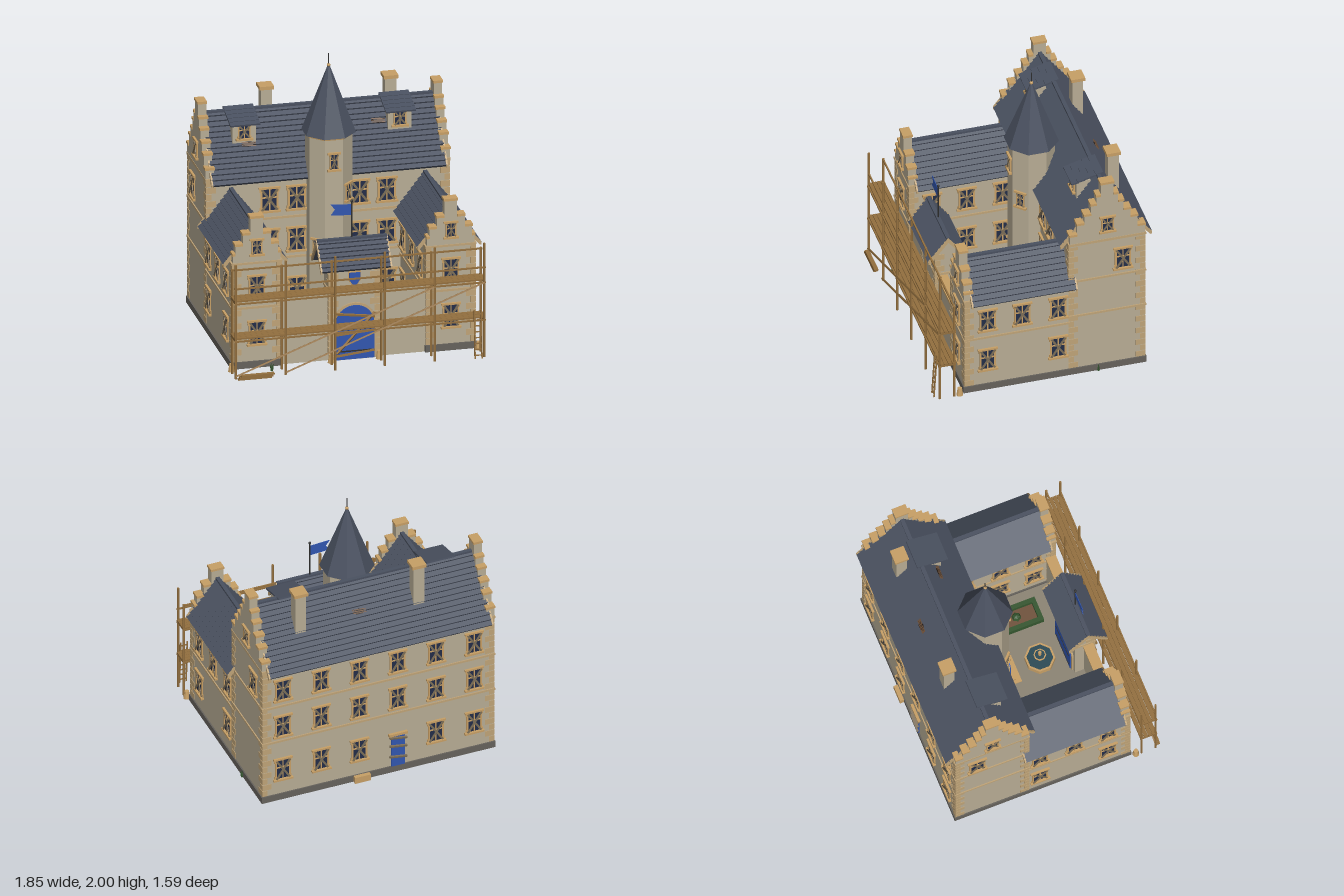
import * as THREE from 'three';

const mat = (color, side = THREE.FrontSide) => new THREE.MeshStandardMaterial({ color, side, flatShading: true, roughness: 0.9 });
const M = {
  wall: mat(0xb8ad95), trim: mat(0xc8a066), stone: mat(0xc0a478), slate: mat(0x4a5160), plinth: mat(0x66625c),
  paving: mat(0x8c8474), glass: mat(0x232d48), blue: mat(0x3156b0, THREE.DoubleSide), wood: mat(0x94703f), board: mat(0x7d6f58),
  green: mat(0x35562f), soil: mat(0x71533c), water: mat(0x2b4a55), dark: mat(0x2b2019), iron: mat(0x30302f),
};

function add(parent, name, geo, material, x = 0, y = 0, z = 0) {
  const m = new THREE.Mesh(geo, material);
  m.name = name;
  m.position.set(x, y, z);
  parent.add(m);
  return m;
}
// Box given by its min and max corners
const block = (p, name, material, x0, x1, y0, y1, z0, z1) =>
  add(p, name, new THREE.BoxGeometry(x1 - x0, y1 - y0, z1 - z0), material, (x0 + x1) / 2, (y0 + y1) / 2, (z0 + z1) / 2);
const group = (p, name, x = 0, y = 0, z = 0, ry = 0) => {
  const g = new THREE.Group();
  g.name = name;
  g.position.set(x, y, z);
  g.rotation.y = ry;
  p.add(g);
  return g;
};
// Square timber between two points
function beam(p, name, a, b, t, material = M.wood) {
  const A = new THREE.Vector3(...a), d = new THREE.Vector3(...b).sub(A), len = d.length();
  const m = add(p, name, new THREE.BoxGeometry(t, t, len), material);
  m.position.copy(A).addScaledVector(d, 0.5);
  m.quaternion.setFromUnitVectors(new THREE.Vector3(0, 0, 1), d.normalize());
}
const extrude = (pts, depth) =>
  new THREE.ExtrudeGeometry(new THREE.Shape(pts.map(q => new THREE.Vector2(...q))), { depth, bevelEnabled: false });

// Boarded window with keyed stone surround, facing +z before rotation
function windowUnit(p, x, y, z, ry = 0, w = 0.104, h = 0.16) {
  const g = group(p, 'window', x, y, z, ry), a = w / 2, b = h / 2, t = w * 0.06;
  block(g, 'windowPane', M.glass, -a, a, -b, b, -0.01, 0.004);
  for (const s of [-1, 1]) {
    block(g, 'windowJamb', M.trim, s * a - t, s * a + t, -b, b, -0.01, 0.01);
    for (const v of [-0.85, 0.85])
      block(g, 'jambStone', M.trim, s * (a + t) - t, s * (a + t) + t, v * b - h * 0.07, v * b + h * 0.07, -0.01, 0.008);
    add(g, 'crossBoard', new THREE.BoxGeometry(Math.hypot(w, h) * 0.98, w * 0.14, 0.006), M.board, 0, 0, 0.013 + s * 0.003)
      .rotation.z = s * Math.atan2(h, w);
  }
  block(g, 'windowSill', M.trim, -a - 0.021, a + 0.021, -b - 0.014, -b, -0.01, 0.022);
  block(g, 'windowLintel', M.trim, -a - 0.019, a + 0.019, b, b + 0.014, -0.01, 0.016);
  block(g, 'mullion', M.trim, -t * 0.7, t * 0.7, -b, b, 0, 0.01);
  block(g, 'transom', M.trim, -a, a, b * 0.2 - t * 0.7, b * 0.2 + t * 0.7, 0, 0.01);
}

// Pitched roof with overlapping slate courses, ridge along local z
function pitchedRoof(p, name, hw, y0, y1, len, rows, x, z, ry = 0) {
  const g = group(p, name, x, 0, z, ry), side = [], lift = 0.011;
  for (let i = 0; i < rows; i++) {
    const u = i / rows, v = (i + 1) / rows;
    side.push([hw * (1 - u) + lift * 0.5, y0 + (y1 - y0) * u + lift], [hw * (1 - v), y0 + (y1 - y0) * v]);
  }
  const left = side.slice(0, -1).reverse().map(([a, b]) => [-a, b]);
  const outline = [[hw - 0.01, y0 - 0.006], ...side, ...left, [-hw + 0.01, y0 - 0.006], [0, y1 - 0.03]];
  add(g, 'slateCourses', extrude(outline, len), M.slate, 0, 0, -len / 2);
  block(g, 'ridgeCap', M.slate, -0.014, 0.014, y1 - 0.02, y1 + 0.006, -len / 2, len / 2);
  // Verge boards on the roof ends
  const verge = [[hw + 0.004, y0 - 0.008], [hw + 0.004, y0 + 0.012], [0, y1 + 0.004], [0, y1 - 0.034], [hw - 0.01, y0 - 0.008]];
  for (const e of [-1, 1]) for (const s of [-1, 1])
    add(g, 'vergeBoard', extrude(verge.map(([a, b]) => [s * a, b]), 0.012), M.stone, 0, 0, e * len / 2 - 0.006);
}

// Crow-stepped gable, facing +z; levels are [halfWidth, top]; copings cap the exposed shelves
function steppedGable(p, name, levels, base, depth, x, z, ry = 0) {
  const g = group(p, name, x, 0, z, ry), d = depth / 2, c = 0.016, e = 0.005;
  let y = base;
  levels.forEach(([hw, top], i) => {
    block(g, 'gableStep', M.wall, -hw, hw, y, top, -d, d);
    const inner = i + 1 < levels.length ? levels[i + 1][0] : 0;
    for (const s of [-1, 1]) {
      const a = s * inner, b = s * (hw + e);
      block(g, 'stepCoping', M.trim, Math.min(a, b), Math.max(a, b), top - c, top + 0.002, -d - e, d + e);
    }
    y = top;
  });
}

// Alternating corner stones; sx and sz point outward
function quoins(p, x, z, sx, sz, h) {
  const n = Math.round((h - 0.05) / 0.05), e = 0.004;
  for (let i = 0; i < n; i++) {
    const a = i % 2 ? 0.07 : 0.04, b = i % 2 ? 0.04 : 0.07, y = 0.05 + (i + 0.5) * (h - 0.05) / n;
    add(p, 'cornerStone', new THREE.BoxGeometry(a, 0.044, b), M.stone, x + sx * (e - a / 2), y, z + sz * (e - b / 2));
  }
}

// Wall mass with plinth and string courses
function wallMass(p, name, x0, x1, z0, z1, h, bands) {
  const g = group(p, name);
  block(g, 'wall', M.wall, x0, x1, 0.04, h, z0, z1);
  block(g, 'plinth', M.plinth, x0 - 0.01, x1 + 0.01, 0, 0.05, z0 - 0.01, z1 + 0.01);
  for (const y of bands) block(g, 'stringCourse', M.stone, x0 - 0.008, x1 + 0.008, y - 0.008, y + 0.008, z0 - 0.008, z1 + 0.008);
}

function archedDoor(p, name, hw, spring, x, z, ry = 0, depth = 0.02) {
  const g = group(p, name, x, 0, z, ry);
  const arch = (r) => {
    const pts = [[-r, 0.01], [r, 0.01]];
    for (let i = 0; i <= 12; i++) pts.push([r * Math.cos(i * Math.PI / 12), spring + r * Math.sin(i * Math.PI / 12)]);
    return pts;
  };
  add(g, 'doorSurround', extrude(arch(hw * 1.12), depth * 0.6), M.stone);
  add(g, 'doorLeaf', extrude(arch(hw), depth), M.blue);
  for (const y of [0.25, 0.85]) block(g, 'hinge', M.iron, -hw * 0.85, hw * 0.85, spring * y, spring * y + 0.009, depth, depth + 0.004);
}

export function createModel() {
  const root = new THREE.Group();
  root.name = 'castle';
  const H = Math.PI / 2, floors = [0.26, 0.63, 0.94];

  // Main rear building
  const main = group(root, 'mainBuilding');
  wallMass(main, 'mainWalls', -0.87, 0.87, -0.74, -0.19, 1.12, [0.5, 0.8]);
  pitchedRoof(main, 'mainRoof', 0.328, 1.09, 1.525, 1.68, 14, 0, -0.467, H);
  for (const s of [-1, 1]) {
    block(main, 'gableBand', M.stone, s * 0.84 - 0.038, s * 0.84 + 0.038, 1.11, 1.13, -0.748, -0.184);
    steppedGable(main, 'mainGable', [[0.272, 1.21], [0.218, 1.3], [0.167, 1.37], [0.118, 1.45], [0.078, 1.52], [0.046, 1.62]], 1.1, 0.06, s * 0.845, -0.467, s * H);
    windowUnit(main, s * 0.875, 1.26, -0.467, s * H, 0.08, 0.11);
    windowUnit(main, s * 0.87, 0.94, -0.58, s * H);
    quoins(main, s * 0.87, -0.74, s, -1, 1.12);
    quoins(main, s * 0.87, -0.19, s, 1, 1.12);
    for (const x of [0.225, 0.42]) for (const y of floors) windowUnit(main, s * x, y, -0.19, 0, 0.115);
  }
  for (let i = 0; i < 6; i++) for (const y of floors) {
    const x = -0.72 + i * 0.288;
    if (i !== 2 || y > 0.3) windowUnit(main, x, y, -0.74, Math.PI);
  }
  block(main, 'backDoor', M.blue, -0.195, -0.095, 0.05, 0.31, -0.752, -0.735);
  block(main, 'backDoorLintel', M.trim, -0.215, -0.075, 0.31, 0.33, -0.76, -0.735);
  for (const y of [0.12, 0.21, 0.28]) beam(main, 'doorBoard', [-0.21, y, -0.757], [-0.08, y + 0.02, -0.757], 0.014, M.board);
  block(main, 'backStep', M.trim, 0.07, 0.19, 0, 0.05, -0.78, -0.74);

  // Chimneys
  for (const x of [-0.35, 0.54]) {
    block(main, 'chimney', M.wall, x - 0.04, x + 0.04, 1.18, 1.62, -0.635, -0.557);
    block(main, 'chimneyCap', M.trim, x - 0.052, x + 0.052, 1.615, 1.64, -0.647, -0.545);
  }
  // Shed dormers
  for (const x of [-0.57, 0.545]) {
    const d = group(main, 'dormer', x, 0, 0);
    block(d, 'dormerWall', M.wall, -0.085, 0.085, 1.3, 1.475, -0.47, -0.315);
    windowUnit(d, 0, 1.415, -0.315, 0, 0.08, 0.1);
    for (let i = 0; i < 5; i++)
      add(d, 'dormerSlates', new THREE.BoxGeometry(0.215, 0.012, 0.055), M.slate, 0, 1.48 + i * 0.0125, -0.3 - i * 0.044).rotation.x = 0.2;
  }
  // Broken patches in the roof
  const pitch = Math.atan2(0.435, 0.328);
  for (const [x, y, s] of [[-0.54, 1.315, 1], [0.4, 1.385, 1], [0.09, 1.34, -1]]) {
    const g = group(main, 'roofHole', x, y + 0.004, -0.467 + s * 0.328 * (1.525 - y) / 0.435);
    g.rotation.x = s * pitch;
    add(g, 'holeGap', new THREE.CylinderGeometry(0.04, 0.04, 0.022, 7), M.dark).scale.set(1, 1, 0.5);
    for (const k of [-1, 0, 1]) beam(g, 'brokenBatten', [-0.05, 0.01, k * 0.012], [0.05, 0.01, k * 0.012 + 0.006], 0.006, M.soil);
  }

  // Side wings
  for (const s of [-1, 1]) {
    const w = group(root, s > 0 ? 'leftWing' : 'rightWing'), cx = s * 0.695;
    wallMass(w, 'wingWalls', cx - 0.175, cx + 0.175, -0.19, 0.565, 0.78, [0.45]);
    pitchedRoof(w, 'wingRoof', 0.225, 0.76, 1.05, 0.755, 9, cx, 0.143);
    steppedGable(w, 'wingGable', [[0.17, 0.86], [0.152, 0.93], [0.1, 1.01], [0.045, 1.13]], 0.76, 0.06, cx, 0.537);
    block(w, 'gableBand', M.stone, cx - 0.183, cx + 0.183, 0.775, 0.79, 0.5, 0.573);
    for (const y of [0.26, 0.6]) windowUnit(w, cx, y, 0.565);
    windowUnit(w, cx, 0.9, 0.567, 0, 0.066, 0.1);
    for (const z of [0.4, 0.15, -0.11]) for (const y of [0.26, 0.6]) {
      if (z !== 0.15 || y > 0.3) windowUnit(w, s * 0.87, y, z, s * H);
      windowUnit(w, s * 0.52, y, z, -s * H);
    }
    quoins(w, s * 0.87, 0.565, s, 1, 0.78);
    quoins(w, s * 0.52, 0.565, -s, 1, 0.78);
    // Front curtain wall
    block(root, 'curtainWall', M.wall, s * 0.345 - 0.18, s * 0.345 + 0.18, 0, 0.5, 0.5, 0.555);
    block(root, 'curtainCoping', M.trim, s * 0.345 - 0.18, s * 0.345 + 0.18, 0.495, 0.515, 0.49, 0.565);
    // Guard stones at the gate and outer corners
    for (const [x, z] of [[0.172, 0.605], [0.885, 0.605]])
      add(root, 'guardStone', new THREE.CylinderGeometry(0.016, 0.025, 0.06, 8), M.trim, s * x, 0.03, z);
  }

  // Gatehouse
  const gate = group(root, 'gatehouse');
  block(gate, 'gateWalls', M.wall, -0.18, 0.18, 0, 0.71, 0.43, 0.578);
  block(gate, 'gateBand', M.stone, -0.187, 0.187, 0.522, 0.538, 0.423, 0.585);
  add(gate, 'gateGables', extrude([[-0.074, 0.7], [0.074, 0.7], [0.074, 0.76], [0, 0.86], [-0.074, 0.76]], 0.36), M.wall, -0.18, 0, 0.504).rotation.y = H;
  pitchedRoof(gate, 'gateRoof', 0.142, 0.69, 0.88, 0.5, 7, 0, 0.505, H);
  archedDoor(gate, 'gateDoor', 0.14, 0.27, 0, 0.578, 0, 0.022);
  archedDoor(gate, 'gateRearDoor', 0.14, 0.27, 0, 0.43, Math.PI);
  for (const s of [-1, 1]) quoins(gate, s * 0.18, 0.578, s, 1, 0.7);
  for (const [a, b] of [[[-0.15, 0.04], [0.14, 0.07]], [[-0.14, 0.2], [0.15, 0.22]], [[-0.13, 0.06], [0.14, 0.35]], [[-0.15, 0.36], [0.14, 0.32]]])
    beam(gate, 'gateBoard', [...a, 0.606], [...b, 0.606], 0.014);
  add(gate, 'shieldBorder', extrude([[-0.046, 0.66], [-0.046, 0.6], [-0.025, 0.563], [0, 0.55], [0.025, 0.563], [0.046, 0.6], [0.046, 0.66]], 0.012), M.trim, 0, 0, 0.578);
  add(gate, 'shield', extrude([[-0.039, 0.653], [-0.039, 0.6], [-0.02, 0.57], [0, 0.559], [0.02, 0.57], [0.039, 0.6], [0.039, 0.653]], 0.018), M.blue, 0, 0, 0.578);
  add(gate, 'flagPole', new THREE.CylinderGeometry(0.005, 0.005, 0.28, 6), M.iron, 0, 1.02, 0.505);
  add(gate, 'poleTip', new THREE.SphereGeometry(0.01, 8, 6), M.iron, 0, 1.155, 0.505);
  add(gate, 'flag', extrude([[0, 1.05], [0, 1.13], [-0.15, 1.14], [-0.12, 1.1], [-0.15, 1.06]], 0.004), M.blue, 0, 0, 0.503);

  // Stair tower
  const tower = group(root, 'stairTower', 0, 0, -0.17);
  const oct = (name, r0, r1, y0, y1, m) => add(tower, name, new THREE.CylinderGeometry(r1, r0, y1 - y0, 8), m, 0, (y0 + y1) / 2, 0).rotation.y = Math.PI / 8;
  oct('towerWall', 0.167, 0.167, 0, 1.43, M.wall);
  oct('towerPlinth', 0.176, 0.176, 0, 0.05, M.plinth);
  oct('towerCornice', 0.173, 0.177, 1.41, 1.43, M.trim);
  oct('towerSpire', 0.193, 0.006, 1.425, 1.915, M.slate);
  add(tower, 'spireBall', new THREE.SphereGeometry(0.013, 8, 6), M.trim, 0, 1.915, 0);
  add(tower, 'spireRod', new THREE.CylinderGeometry(0.004, 0.004, 0.09, 6), M.iron, 0, 1.955, 0);
  windowUnit(tower, 0, 1.25, 0.154, 0, 0.056, 0.11);
  for (const [a, y] of [[1, 1.0], [-1, 0.6]]) windowUnit(tower, a * 0.109, y, 0.109, a * Math.PI / 4, 0.056, 0.11);
  archedDoor(tower, 'towerDoor', 0.05, 0.24, 0, 0.152, 0);
  block(tower, 'towerStep', M.trim, -0.105, 0.105, 0.02, 0.04, 0.14, 0.235);
  block(tower, 'towerUpperStep', M.trim, -0.08, 0.08, 0.04, 0.06, 0.14, 0.2);

  // Courtyard with fountain and beds
  const yard = group(root, 'courtyard');
  block(yard, 'paving', M.paving, -0.52, 0.52, 0.02, 0.032, -0.19, 0.5);
  const f = group(yard, 'fountain', 0, 0, 0.24);
  for (const [n, r, y, m] of [['fountainBasin', 0.108, 0.08, M.trim], ['fountainWater', 0.093, 0.084, M.water], ['fountainBowl', 0.045, 0.13, M.trim], ['bowlWater', 0.036, 0.134, M.water], ['fountainSpout', 0.012, 0.18, M.trim]])
    add(f, n, new THREE.CylinderGeometry(r, r < 0.05 ? 0.012 : r, y - 0.025, 8), m, 0, (y + 0.025) / 2, 0).rotation.y = Math.PI / 8;
  for (const s of [-1, 1]) {
    const b = group(yard, 'flowerBed', s * 0.34, 0, 0.2);
    block(b, 'soil', M.soil, -0.07, 0.07, 0.025, 0.045, -0.15, 0.15);
    for (const k of [-1, 1]) {
      block(b, 'hedge', M.green, k * 0.075 - 0.016, k * 0.075 + 0.016, 0.025, 0.08, -0.172, 0.172);
      block(b, 'hedge', M.green, -0.09, 0.09, 0.025, 0.08, k * 0.156 - 0.016, k * 0.156 + 0.016);
    }
    add(b, 'bush', new THREE.SphereGeometry(0.035, 6, 4), M.green, 0, 0.07, 0);
  }
  for (const [x, z] of [[-0.61, 0.66], [0.885, -0.4]])
    for (const k of [-1, 0, 1]) add(root, 'weed', new THREE.ConeGeometry(0.009, 0.065 - Math.abs(k) * 0.02, 4), M.green, x + k * 0.008, 0.032, z).rotation.z = -k * 0.3;

  // Timber scaffold
  const sc = group(root, 'scaffold');
  for (let i = 0; i < 6; i++) {
    const x = -0.89 + i * 0.356;
    for (const [z, h] of [[0.645, 0.78], [0.75, 0.85]]) add(sc, 'post', new THREE.CylinderGeometry(0.009, 0.009, h, 6), M.wood, x, h / 2, z);
    for (const y of [0.28, 0.56]) beam(sc, 'putlog', [x, y, 0.635], [x, y, 0.762], 0.012);
  }
  for (const y of [0.295, 0.575])
    for (let i = 0; i < 4; i++) block(sc, 'plank', M.wood, -0.9, 0.9, y - 0.005, y + 0.007, 0.637 + i * 0.029, 0.663 + i * 0.029);
  for (const [y, z] of [[0.278, 0.753], [0.558, 0.753], [0.67, 0.75], [0.77, 0.645], [0.28, 0.642], [0.56, 0.642]])
    beam(sc, 'rail', [-0.9, y, z], [0.9, y, z], 0.011);
  beam(sc, 'brace', [-0.89, 0.02, 0.756], [0.54, 0.56, 0.756], 0.011);
  beam(sc, 'brace', [-0.53, 0.02, 0.758], [0.89, 0.56, 0.758], 0.011);
  for (const x of [0.815, 0.865]) beam(sc, 'ladderRail', [x, 0.004, 0.786], [x, 0.36, 0.765], 0.009);
  for (let i = 0; i < 8; i++) beam(sc, 'ladderRung', [0.815, 0.03 + i * 0.043, 0.785 - i * 0.0026], [0.865, 0.03 + i * 0.043, 0.785 - i * 0.0026], 0.007);
  for (let i = 0; i < 3; i++) block(sc, 'loosePlank', M.wood, -0.88 + i * 0.01, -0.64 + i * 0.01, i * 0.011, 0.011 + i * 0.011, 0.758, 0.788);

  return root;
}
